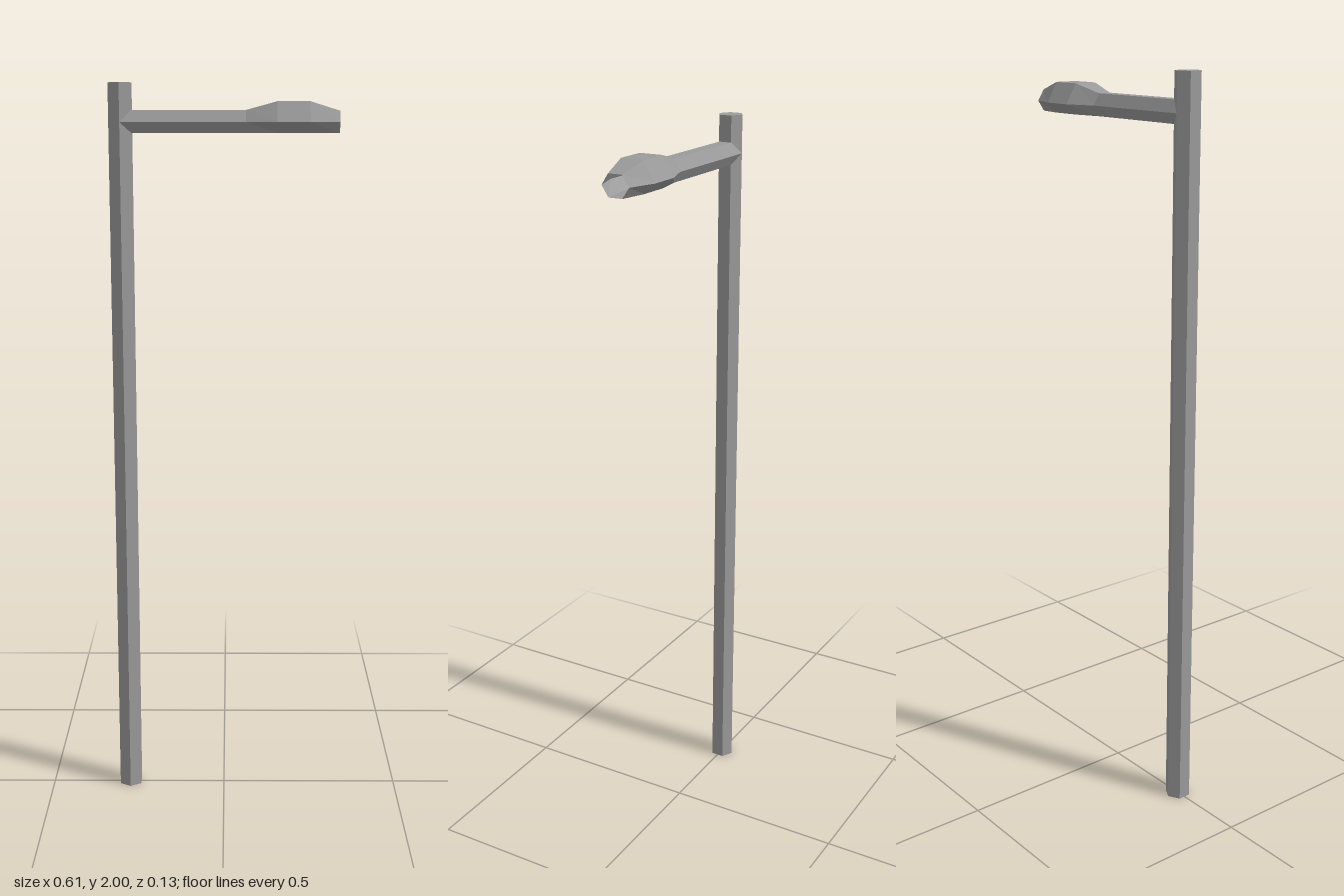
import * as THREE from 'three';

const material = new THREE.MeshStandardMaterial({ color: 0x9b9b9b, flatShading: true, side: THREE.DoubleSide });

const POLE_X = -0.274, RADIUS = 0.035, FLAT = 0.03;
const MID_Y = 1.899, BOTTOM_Y = 1.871, ARM_TOP = 1.93, HEAD_TOP = 1.952;

// Six-sided cross-section with flat top and bottom; miter pulls the side corners back in x
function section(x, halfWidth, topY, miter = 0) {
  const flat = halfWidth * 0.51;
  return [
    [x, topY, flat], [x - miter, MID_Y, halfWidth], [x, BOTTOM_Y, flat],
    [x, BOTTOM_Y, -flat], [x - miter, MID_Y, -halfWidth], [x, topY, -flat],
  ];
}

// Open-ended skin through the sections in order of x
function loft(sections) {
  const positions = [];
  for (let s = 0; s < sections.length - 1; s++) {
    const p = sections[s], q = sections[s + 1];
    for (let i = 0; i < 6; i++) {
      const j = (i + 1) % 6;
      positions.push(...p[i], ...p[j], ...q[j], ...p[i], ...q[j], ...q[i]);
    }
  }
  const geometry = new THREE.BufferGeometry();
  geometry.setAttribute('position', new THREE.Float32BufferAttribute(positions, 3));
  geometry.computeVertexNormals();
  return geometry;
}

export function createModel() {
  const model = new THREE.Group();
  model.name = 'streetLamp';
  const add = (name, geometry) => {
    const mesh = new THREE.Mesh(geometry, material);
    mesh.name = name;
    model.add(mesh);
    return mesh;
  };

  // Hollow hexagonal post with its corners towards front and back, open at the foot
  add('pole', new THREE.CylinderGeometry(RADIUS, RADIUS, 2, 6, 1, true)).position.set(POLE_X, 1, 0);

  // Lid closing the top of the post
  const lid = add('poleTop', new THREE.CircleGeometry(RADIUS, 6, Math.PI / 2));
  lid.rotation.x = -Math.PI / 2;
  lid.position.set(POLE_X, 2, 0);

  // Arm, mitred to meet the faces of the post
  const neck = section(0.058, RADIUS, ARM_TOP);
  add('arm', loft([section(POLE_X + FLAT, RADIUS, ARM_TOP, FLAT), neck]));

  // Lamp head: flat underneath, wider and taller in the middle, open at the tip
  add('lampHead', loft([
    neck,
    section(0.14, 0.0635, HEAD_TOP),
    section(0.226, 0.0635, HEAD_TOP),
    section(0.305, 0.0385, 1.928),
  ]));

  return model;
}
